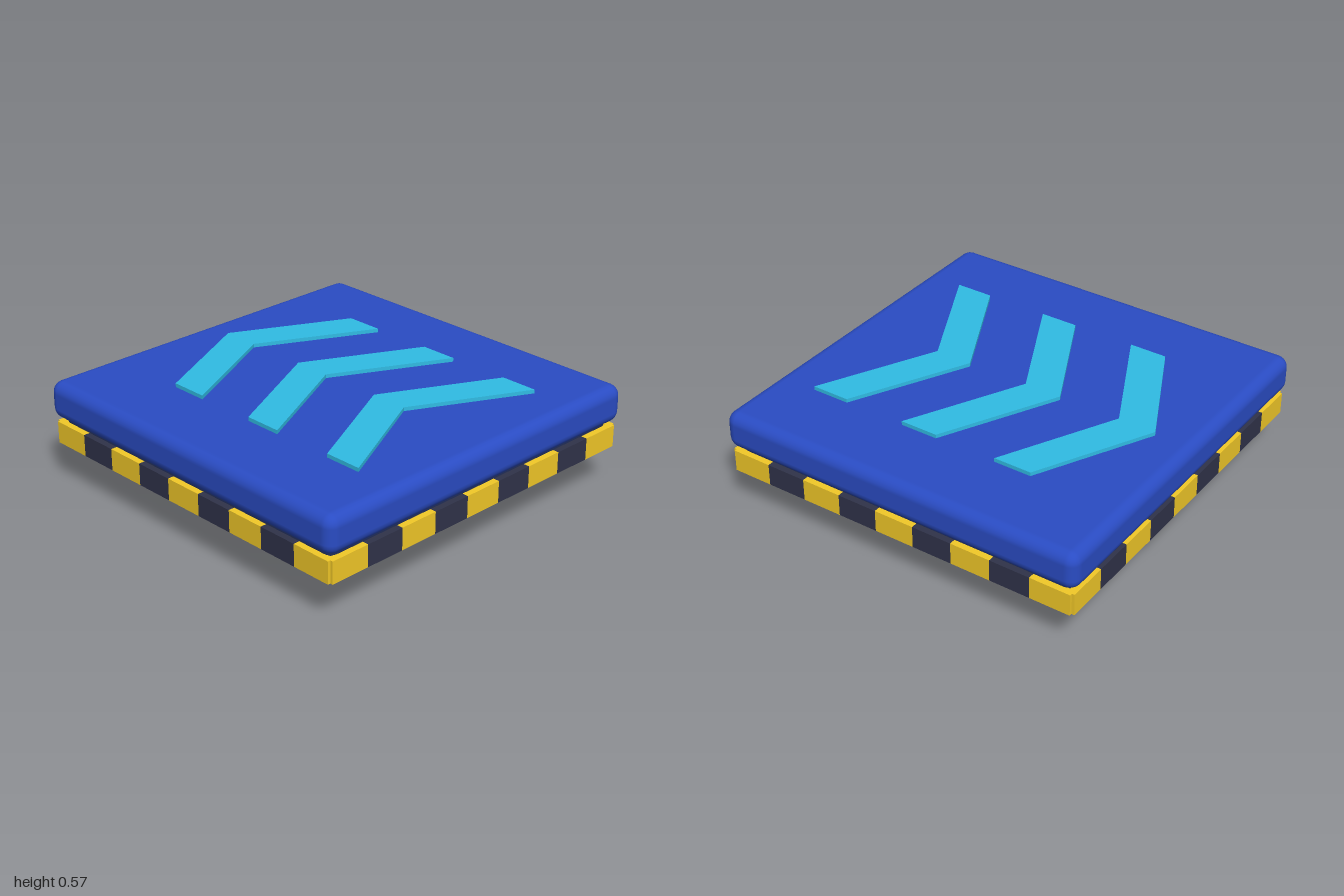
import * as THREE from 'three';
import { RoundedBoxGeometry } from 'three/addons/geometries/RoundedBoxGeometry.js';

const paint = (color) => new THREE.MeshStandardMaterial({ color });
const BLUE = paint(0x2a4cc4), NAVY = paint(0x1c2850), CYAN = paint(0x30bce4);
const YELLOW = paint(0xf2c928), DARK = paint(0x30334a);

function add(parent, name, geometry, material, x = 0, y = 0, z = 0) {
  const mesh = new THREE.Mesh(geometry, material);
  mesh.name = name;
  mesh.position.set(x, y, z);
  parent.add(mesh);
  return mesh;
}

// One edge of alternating hazard blocks, facing +z
function hazardStrip() {
  const strip = new THREE.Group();
  const count = 9, pitch = 0.215;
  const block = new THREE.BoxGeometry(pitch, 0.115, 0.04);
  for (let i = 0; i < count; i++) {
    const yellow = i % 2 === 0;
    add(strip, yellow ? 'yellowBlock' : 'darkBlock', block, yellow ? YELLOW : DARK,
      (i - (count - 1) / 2) * pitch, 0.278, 0.962);
  }
  return strip;
}

// Flat V-shaped arrow lying on the deck and pointing to -z
function chevronGeometry() {
  const shape = new THREE.Shape([
    [0, 0], [-0.6, -0.3], [-0.6, -0.5], [0, -0.2], [0.6, -0.5], [0.6, -0.3],
  ].map(([x, y]) => new THREE.Vector2(x, y)));
  const geometry = new THREE.ExtrudeGeometry(shape, { depth: 0.03, bevelEnabled: false });
  return geometry.rotateX(-Math.PI / 2);
}

export function createModel() {
  const model = new THREE.Group();
  model.name = 'boostPad';

  // Upper deck and the narrower base under it
  add(model, 'deck', new RoundedBoxGeometry(2, 0.2, 2, 3, 0.06), BLUE, 0, 0.455, 0);
  add(model, 'base', new RoundedBoxGeometry(1.9, 0.17, 1.9, 3, 0.04), NAVY, 0, 0.28, 0);

  // Hazard strips on all four sides
  for (let i = 0; i < 4; i++) {
    const strip = hazardStrip();
    strip.name = 'hazardStrip';
    strip.rotation.y = i * Math.PI / 2;
    model.add(strip);
  }

  // Tapered foot
  add(model, 'foot', new THREE.CylinderGeometry(0.45, 0.3, 0.225, 16), CYAN, 0, 0.1125, 0);

  // Direction arrows on top
  const chevron = chevronGeometry();
  for (let i = 0; i < 3; i++) {
    add(model, 'chevron', chevron, CYAN, 0, 0.545, -0.8 + i * 0.533);
  }
  return model;
}
